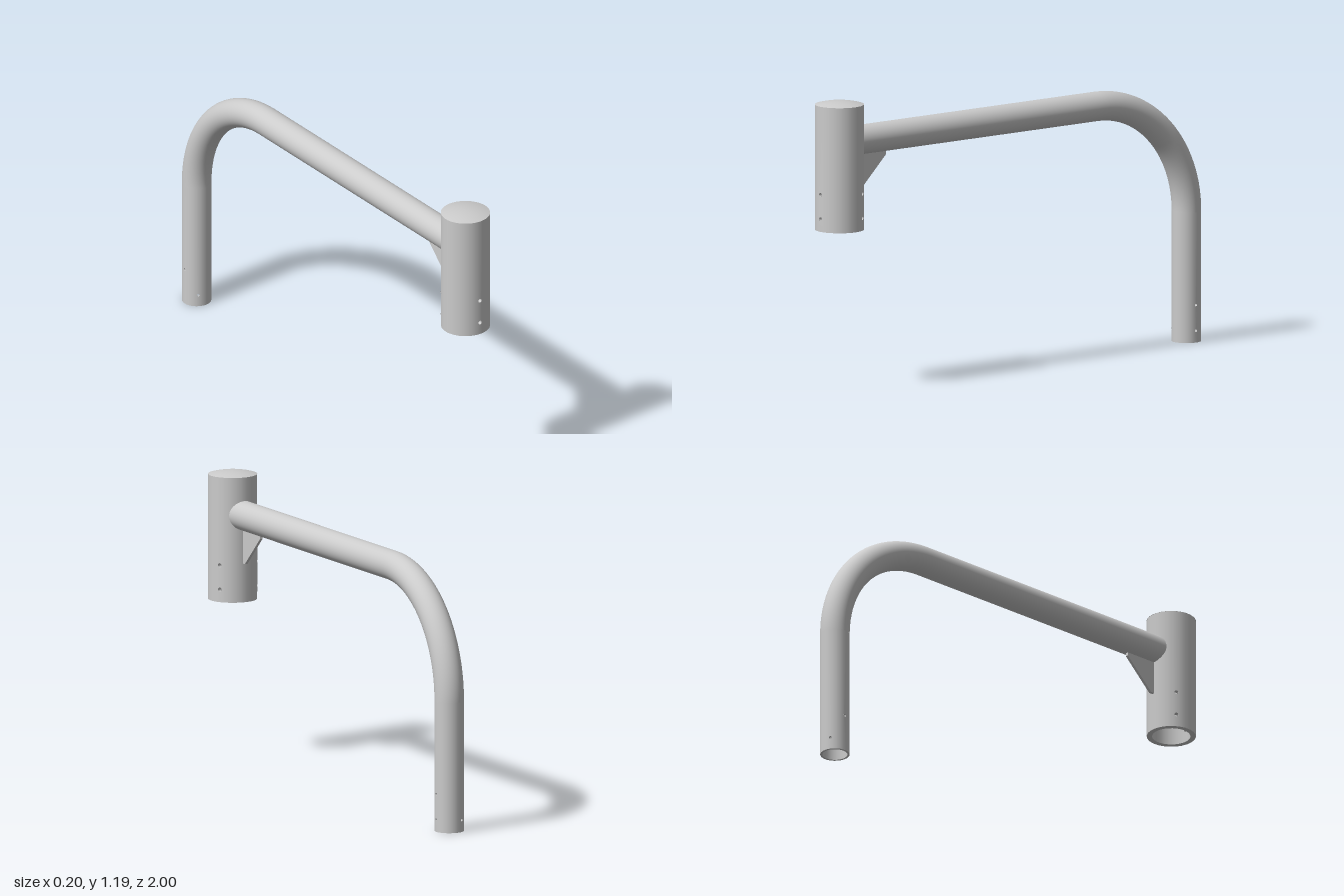
import * as THREE from 'three';
import { mergeGeometries } from 'three/addons/utils/BufferGeometryUtils.js';

const mat = new THREE.MeshStandardMaterial({ color: 0xcccccc, side: THREE.DoubleSide });
const SIDES = 24;

function add(group, name, geometry) {
  const mesh = new THREE.Mesh(geometry, mat);
  mesh.name = name;
  group.add(mesh);
  return mesh;
}

// Cylindrical wall made of bent vertical strips; strips may carry round holes
function drilledWall(r, y0, y1, holes, holeR) {
  const half = Math.PI / SIDES;
  const strips = [];
  for (let i = 0; i < SIDES; i++) {
    const deg = (i * 360) / SIDES;
    const shape = new THREE.Shape([
      new THREE.Vector2(-half, y0), new THREE.Vector2(half, y0),
      new THREE.Vector2(half, y1), new THREE.Vector2(-half, y1),
    ]);
    for (const [a, y] of holes) {
      if (a === deg) shape.holes.push(new THREE.Path().absellipse(0, y, holeR / r, holeR, 0, Math.PI * 2, true));
    }
    const g = new THREE.ShapeGeometry(shape, 14);
    const p = g.attributes.position, n = g.attributes.normal;
    for (let k = 0; k < p.count; k++) {
      const t = THREE.MathUtils.degToRad(deg) + p.getX(k);
      p.setXYZ(k, r * Math.sin(t), p.getY(k), r * Math.cos(t));
      n.setXYZ(k, Math.sin(t), 0, Math.cos(t));
    }
    strips.push(g);
  }
  return mergeGeometries(strips);
}

// Hollow upright tube with bolt holes and an end ring at the bottom
function drilledTube(name, rOut, rIn, y0, y1, holes, holeR) {
  const tube = new THREE.Group();
  tube.name = name;
  add(tube, 'outerWall', drilledWall(rOut, y0, y1, holes, holeR));
  add(tube, 'innerWall', drilledWall(rIn, y0, y1, holes, holeR));
  const ring = new THREE.RingGeometry(rIn, rOut, SIDES);
  add(tube, 'bottomRim', ring.rotateX(Math.PI / 2).rotateY(Math.PI / SIDES).translate(0, y0, 0));
  for (const [deg, y] of holes) {
    const bore = new THREE.CylinderGeometry(holeR, holeR, rOut - rIn, 14, 1, true);
    bore.rotateX(Math.PI / 2).translate(0, y, (rOut + rIn) / 2).rotateY(THREE.MathUtils.degToRad(deg));
    add(tube, 'boltHole', bore);
  }
  return tube;
}

export function createModel() {
  const model = new THREE.Group();
  model.name = 'bracketArm';

  const sleeveZ = 0.9, sleeveR = 0.1, sleeveTop = 1.172;
  const pipeR = 0.06, pipeIn = 0.051, pipeY = 1.015, legZ = -0.94, bendR = 0.48;

  // Post sleeve, three bolts around at two heights
  const sleeveHoles = [0, 120, 240].flatMap((a) => [[a, 0.71], [a, 0.81]]);
  const sleeve = drilledTube('sleeve', sleeveR, 0.078, 0.658, sleeveTop, sleeveHoles, 0.0085);
  sleeve.position.z = sleeveZ;
  model.add(sleeve);

  // Domed cap
  const dome = [];
  for (let i = 0; i <= 8; i++) {
    const x = sleeveR * (1 - i / 8);
    dome.push(new THREE.Vector2(x, sleeveTop + 0.014 * (1 - (x / sleeveR) ** 2)));
  }
  add(model, 'cap', new THREE.LatheGeometry(dome, 48)).position.z = sleeveZ;
  const under = new THREE.CircleGeometry(0.08, SIDES).rotateX(Math.PI / 2);
  add(model, 'capUnderside', under).position.set(0, sleeveTop - 0.006, sleeveZ);

  // Drilled leg of the pipe
  const legHoles = [[90, 0.05], [210, 0.05], [330, 0.05], [90, 0.155], [270, 0.155]];
  const leg = drilledTube('leg', pipeR, pipeIn, 0, pipeY - bendR, legHoles, 0.006);
  leg.position.z = legZ;
  model.add(leg);

  // Bend and straight arm, outside and bore
  const bendZ = legZ + bendR;
  for (const [r, side] of [[pipeR, 'Outer'], [pipeIn, 'Inner']]) {
    const bend = new THREE.TorusGeometry(bendR, r, SIDES * 2, 28, Math.PI / 2);
    add(model, 'bend' + side, bend.rotateY(Math.PI / 2)).position.set(0, pipeY - bendR, bendZ);

    const arm = new THREE.CylinderGeometry(r, r, 1, SIDES * 2, 1, true).rotateX(Math.PI / 2);
    const p = arm.attributes.position;
    // Far end is cut to fit the round sleeve
    for (let i = 0; i < p.count; i++) {
      const x = p.getX(i);
      p.setZ(i, p.getZ(i) > 0 ? sleeveZ - Math.sqrt(sleeveR ** 2 - x * x) : bendZ);
    }
    add(model, 'arm' + side, arm).position.y = pipeY;
  }

  // Triangular gusset under the arm
  const t = 0.012;
  const plate = new THREE.Shape([
    [-0.802, 0.818], [-0.785, 0.818], [-0.657, 0.942], [-0.657, 0.957], [-0.802, 0.957],
  ].map(([x, y]) => new THREE.Vector2(x, y)));
  const gusset = new THREE.ExtrudeGeometry(plate, { depth: t, bevelEnabled: false });
  add(model, 'gusset', gusset.translate(0, 0, -t / 2).rotateY(Math.PI / 2));

  return model;
}
